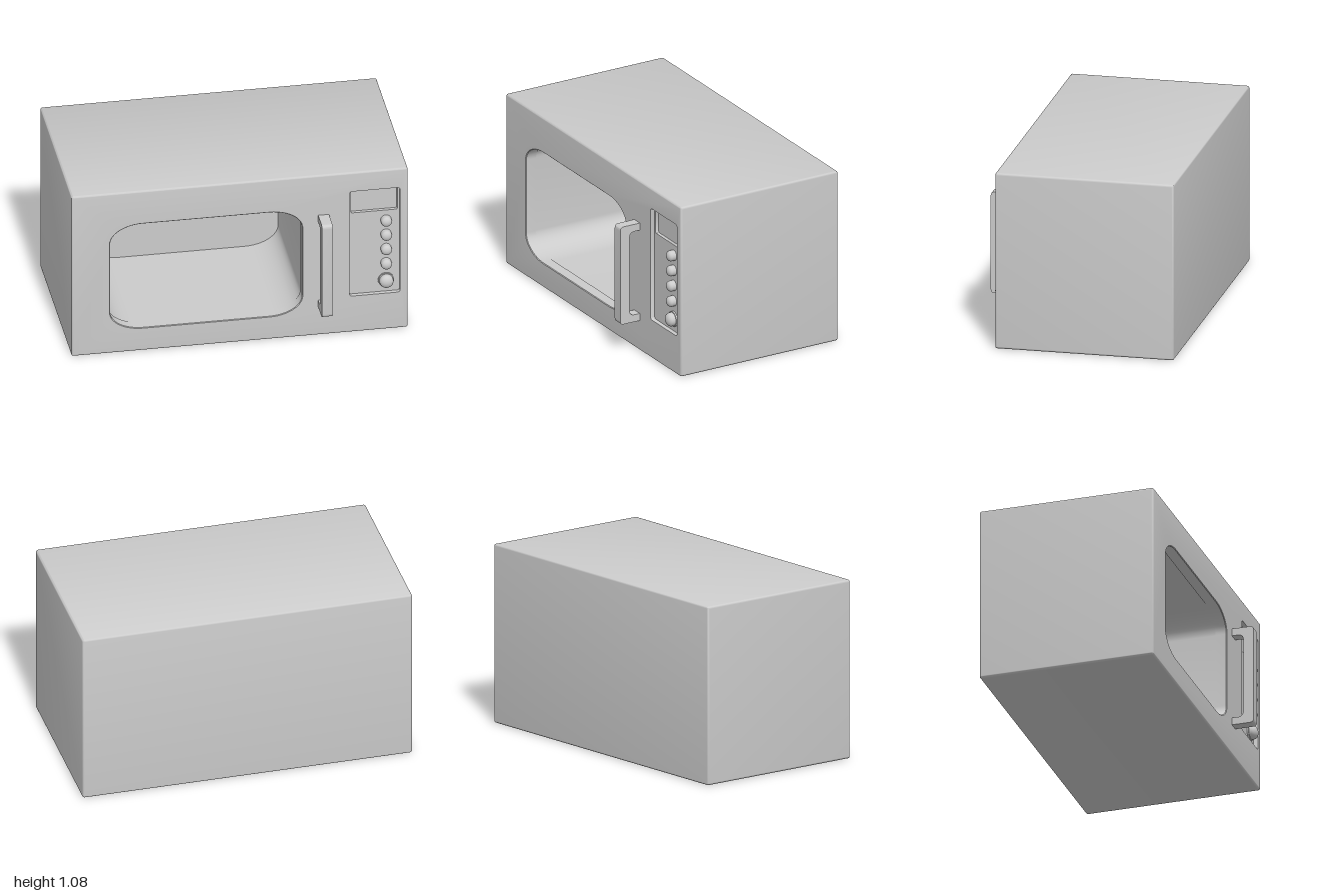
import * as THREE from 'three';
import { mergeGeometries, toCreasedNormals } from 'three/addons/utils/BufferGeometryUtils.js';

const material = new THREE.MeshStandardMaterial({ color: 0xcccccc });
const FRONT = 0.47, BACK = -0.603, TOP = 1.078;

// Counter-clockwise rectangle outline with elliptical corners
function ring(x0, x1, y0, y1, rx, ry = rx, n = 8) {
  const points = [];
  const corners = [[x1 - rx, y0 + ry], [x1 - rx, y1 - ry], [x0 + rx, y1 - ry], [x0 + rx, y0 + ry]];
  corners.forEach(([cx, cy], k) => {
    for (let i = 0; i <= n; i++) {
      const a = (k - 1 + i / n) * Math.PI / 2;
      points.push(new THREE.Vector2(cx + rx * Math.cos(a), cy + ry * Math.sin(a)));
    }
  });
  return points;
}

// Skin through [outline, z] sections; faces outward when z rises, inward when it falls
function loft(sections) {
  const n = sections[0][0].length, position = [], index = [];
  sections.forEach(([pts, z]) => pts.forEach(p => position.push(p.x, p.y, z)));
  for (let s = 0; s < sections.length - 1; s++) {
    for (let i = 0; i < n; i++) {
      const a = s * n + i, b = s * n + (i + 1) % n;
      index.push(a, b, b + n, a, b + n, a + n);
    }
  }
  const g = new THREE.BufferGeometry();
  g.setAttribute('position', new THREE.Float32BufferAttribute(position, 3));
  g.setIndex(index);
  return g;
}

// Flat face at depth z, optionally with holes or turned to the back
function face(outline, z, holes = [], backward = false) {
  const shape = new THREE.Shape(outline);
  holes.forEach(h => shape.holes.push(new THREE.Path(h)));
  const g = new THREE.ShapeGeometry(shape);
  g.deleteAttribute('uv');
  g.deleteAttribute('normal');
  if (backward) g.setIndex([...g.index.array].reverse());
  return g.translate(0, 0, z);
}

function addMesh(group, name, geometry) {
  const mesh = new THREE.Mesh(geometry, material);
  mesh.name = name;
  group.add(mesh);
  return mesh;
}

const creased = (...parts) => toCreasedNormals(mergeGeometries(parts), 0.6);

export function createModel() {
  const group = new THREE.Group();
  group.name = 'microwave';

  // Outlines of the openings
  const windowRing = ring(-0.775, 0.375, 0.15, 0.86, 0.2, 0.125, 12);
  const windowLip = ring(-0.771, 0.371, 0.154, 0.856, 0.196, 0.121, 12);
  const panelRing = ring(0.653, 0.953, 0.243, 0.95, 0.015);
  const displayRing = ring(0.665, 0.941, 0.79, 0.938, 0.008);

  // Outer case with softly rounded edges
  const r = 0.012;
  const sections = [];
  const outer = inset => ring(-1 + inset, 1 - inset, inset, TOP - inset, r - inset + 0.002);
  for (let i = 0; i <= 4; i++) {
    const a = i / 4 * Math.PI / 2;
    sections.push([outer(r * (1 - Math.sin(a))), BACK + r * (1 - Math.cos(a))]);
  }
  for (let i = 4; i >= 0; i--) {
    const a = i / 4 * Math.PI / 2;
    sections.push([outer(r * (1 - Math.sin(a))), FRONT - r * (1 - Math.cos(a))]);
  }
  addMesh(group, 'case', creased(
    loft(sections),
    face(outer(r), BACK, [], true),
    face(outer(r), FRONT, [windowRing, panelRing]),
  ));

  // Oven cavity behind the window opening
  addMesh(group, 'cavity', creased(
    loft([[windowRing, FRONT], [windowLip, FRONT - 0.004], [windowLip, 0.4], [windowRing, 0.4], [windowRing, -0.37]]),
    face(windowRing, -0.37),
  ));

  // Recessed control panel with a deeper display
  addMesh(group, 'controlPanel', creased(
    loft([[panelRing, FRONT], [panelRing, 0.443]]),
    face(panelRing, 0.443, [displayRing]),
  ));
  addMesh(group, 'display', creased(
    loft([[displayRing, 0.443], [displayRing, 0.422]]),
    face(displayRing, 0.422),
  ));

  // Domed buttons and the larger dial
  function knob(name, y, radius, height) {
    const profile = [new THREE.Vector2(radius, 0)];
    const round = Math.min(radius, height) * 0.7;
    for (let i = 0; i <= 8; i++) {
      const a = i / 8 * Math.PI / 2;
      profile.push(new THREE.Vector2(radius * Math.cos(a), height - round + round * Math.sin(a)));
    }
    profile[profile.length - 1].x = 0;
    const mesh = addMesh(group, name, new THREE.LatheGeometry(profile, 32));
    mesh.rotation.x = Math.PI / 2;
    mesh.position.set(0.873, y, 0.443);
  }
  [0.725, 0.63, 0.533, 0.436].forEach((y, i) => knob('button' + (i + 1), y, 0.032, 0.047));
  knob('dial', 0.321, 0.041, 0.053);
  const collar = addMesh(group, 'dialCollar', new THREE.CylinderGeometry(0.047, 0.047, 0.01, 32));
  collar.rotation.x = Math.PI / 2;
  collar.position.set(0.873, 0.321, 0.448);

  // C-shaped door handle, drawn in side profile (z across, y up)
  const s = new THREE.Shape();
  s.moveTo(0.46, 0.19);
  s.lineTo(0.58, 0.19);
  s.quadraticCurveTo(0.603, 0.19, 0.603, 0.213);
  s.lineTo(0.603, 0.787);
  s.quadraticCurveTo(0.603, 0.81, 0.58, 0.81);
  s.lineTo(0.46, 0.81);
  s.lineTo(0.46, 0.765);
  s.lineTo(0.505, 0.765);
  s.quadraticCurveTo(0.54, 0.765, 0.54, 0.73);
  s.lineTo(0.54, 0.27);
  s.quadraticCurveTo(0.54, 0.235, 0.505, 0.235);
  s.lineTo(0.46, 0.235);
  s.closePath();
  const handle = new THREE.ExtrudeGeometry(s, { depth: 0.064, bevelEnabled: false, curveSegments: 8 });
  handle.rotateY(-Math.PI / 2).translate(0.53, 0, 0);
  addMesh(group, 'handle', toCreasedNormals(handle, 0.6));

  return group;
}
